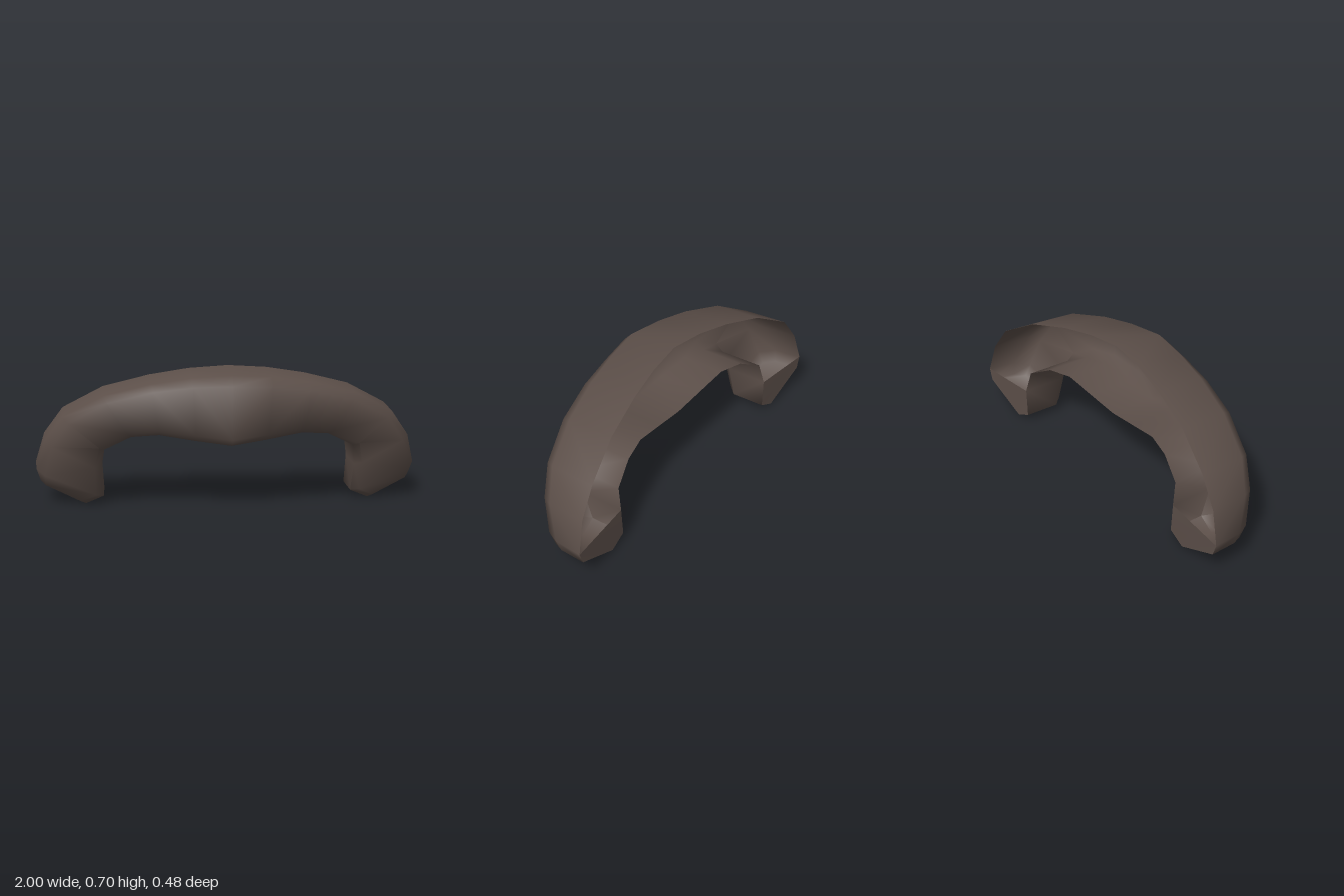
import * as THREE from 'three';
import { toCreasedNormals } from 'three/addons/utils/BufferGeometryUtils.js';

// Half of the arch, from the middle to the foot.
// Each station: outer edge [x, y], inner edge [x, y], then z of the six rim-to-rim points
// (outer back, outer front, upper front, lower front, inner front, inner back).
const STATIONS = [
  { outer: [0, 0.705], inner: [0, 0.33], z: [-0.065, 0.195, 0.242, 0.222, 0.157, -0.095] },
  { outer: [0.2, 0.69], inner: [0.18, 0.355], z: [-0.085, 0.17, 0.213, 0.2, 0.14, -0.105] },
  { outer: [0.4, 0.655], inner: [0.36, 0.383], z: [-0.115, 0.14, 0.187, 0.18, 0.115, -0.118] },
  { outer: [0.64, 0.59], inner: [0.5, 0.37], z: [-0.16, 0.09, 0.143, 0.147, 0.085, -0.15] },
  { outer: [0.85, 0.475], inner: [0.635, 0.3], z: [-0.21, 0.03, 0.083, 0.105, 0.05, -0.19] },
  { outer: [0.95, 0.34], inner: [0.652, 0.19], z: [-0.225, -0.025, 0.04, 0.06, 0.01, -0.215] },
  { outer: [1, 0.18], inner: [0.643, 0.04], z: [-0.241, -0.09, -0.01, 0.015, -0.03, -0.217] },
  { outer: [0.978, 0.118], inner: [0.735, 0], z: [-0.241, -0.105, -0.045, -0.03, -0.04, -0.222] },
];
// How far each point lies from the outer edge towards the inner edge
const ACROSS = [0, 0.04, 0.17, 0.89, 1, 1];

function section({ outer, inner, z }, side) {
  return ACROSS.map((t, i) => [
    side * THREE.MathUtils.lerp(outer[0], inner[0], t),
    THREE.MathUtils.lerp(outer[1], inner[1], t),
    z[i],
  ]);
}

// Hollow shell, open along the back, with closed feet
function shellGeometry() {
  const sections = [
    ...STATIONS.slice(1).reverse().map((s) => section(s, -1)),
    ...STATIONS.map((s) => section(s, 1)),
  ];
  const n = ACROSS.length;
  const index = [];
  // Skin between neighbouring sections, with mirrored diagonals on the two halves
  for (let i = 0; i < sections.length - 1; i++) {
    for (let j = 0; j < n - 1; j++) {
      const a = i * n + j;
      const b = a + 1;
      const c = b + n;
      const d = a + n;
      if (i < STATIONS.length - 1) index.push(a, b, c, a, c, d);
      else index.push(a, b, d, b, c, d);
    }
  }
  // Undersides of the feet
  const last = (sections.length - 1) * n;
  for (let j = 1; j < n - 1; j++) {
    index.push(0, j + 1, j);
    index.push(last, last + j, last + j + 1);
  }
  // Small back panels at the feet
  const rim = (i) => [i * n, i * n + n - 1];
  for (const right of [false, true]) {
    const order = right ? [14, 13, 12] : [0, 1, 2];
    const [[outerLow, innerLow], [outerMid, innerMid], [, innerHigh]] = order.map(rim);
    const triangles = [
      [innerLow, outerLow, outerMid],
      [innerLow, outerMid, innerMid],
      [innerMid, outerMid, innerHigh],
    ];
    for (const t of triangles) index.push(...(right ? t.reverse() : t));
  }
  const geometry = new THREE.BufferGeometry();
  geometry.setAttribute('position', new THREE.Float32BufferAttribute(sections.flat(2), 3));
  geometry.setIndex(index);
  return toCreasedNormals(geometry, 1.25);
}

export function createModel() {
  const darkBrown = new THREE.MeshStandardMaterial({ color: 0x5c4f49, side: THREE.DoubleSide });
  darkBrown.name = 'dark brown';

  const shell = new THREE.Mesh(shellGeometry(), darkBrown);
  shell.name = 'curvedShell';

  const model = new THREE.Group();
  model.name = 'archedBand';
  model.add(shell);
  return model;
}
